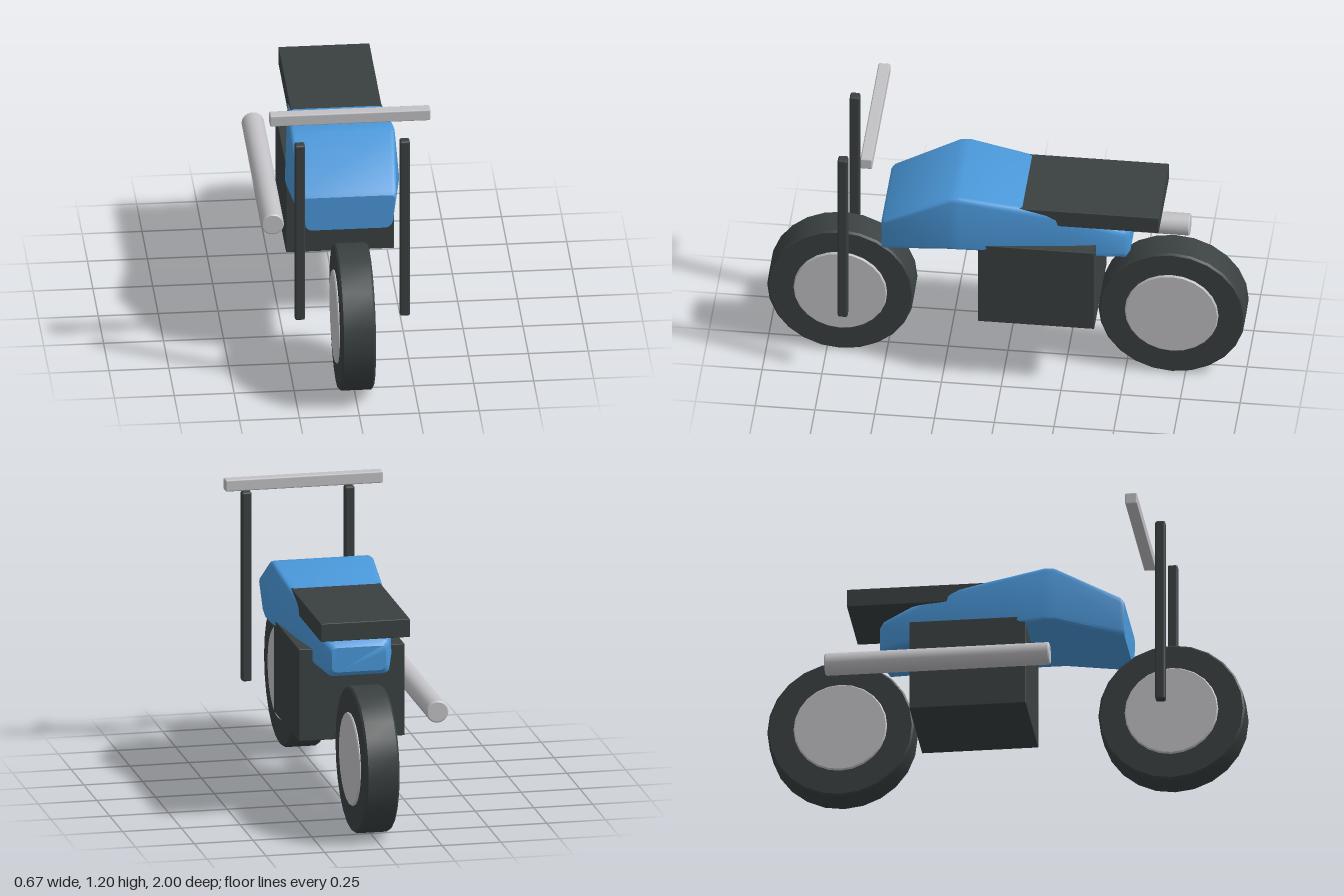
import * as THREE from 'three';
import { toCreasedNormals } from 'three/addons/utils/BufferGeometryUtils.js';
import { RoundedBoxGeometry } from 'three/addons/geometries/RoundedBoxGeometry.js';

const mat = (name, color) => {
  const m = new THREE.MeshStandardMaterial({ color });
  m.name = name;
  return m;
};

// Solid disc along x with small chamfers on both rims
function bevelledDisc(radius, width, bevel, sides) {
  const h = width / 2;
  const profile = [[0, -h], [radius - bevel, -h], [radius, -h + bevel], [radius, h - bevel], [radius - bevel, h], [0, h]];
  const geo = new THREE.LatheGeometry(profile.map(([x, y]) => new THREE.Vector2(x, y)), sides);
  return toCreasedNormals(geo.rotateZ(Math.PI / 2), 0.6);
}

// Rounded four-sided cross-section, counterclockwise seen from +z
function section([z, bottom, top, wBottom, wTop, r]) {
  const corners = [[wBottom, bottom], [wTop, top], [-wTop, top], [-wBottom, bottom]].map(([x, y]) => new THREE.Vector2(x, y));
  const points = [];
  corners.forEach((c, i) => {
    const toward = (o) => corners[o % 4].clone().sub(c).setLength(r).add(c);
    const curve = new THREE.QuadraticBezierCurve(toward(i + 3), c, toward(i + 1));
    for (const p of curve.getPoints(3)) points.push([p.x, p.y, z]);
  });
  return points;
}

// Skin sections running from back to front, with closed ends
function loft(rows) {
  const rings = rows.map(section), n = rings[0].length, index = [];
  for (let i = 0; i < rings.length - 1; i++) {
    for (let j = 0; j < n; j++) {
      const k = (j + 1) % n, a = i * n + j, b = i * n + k, c = b + n, d = a + n;
      index.push(a, b, c, a, c, d);
    }
  }
  const last = (rings.length - 1) * n;
  for (let j = 1; j < n - 1; j++) {
    index.push(last, last + j, last + j + 1);
    index.push(0, j + 1, j);
  }
  const geo = new THREE.BufferGeometry();
  geo.setAttribute('position', new THREE.Float32BufferAttribute(rings.flat(2), 3));
  geo.setIndex(index);
  return toCreasedNormals(geo, 0.6);
}

export function createModel() {
  const group = new THREE.Group();
  group.name = 'motorcycle';
  const dark = mat('charcoal', 0x3a4040);
  const metal = mat('light metal', 0xc2c2c6);
  const blue = mat('blue paint', 0x4a98da);

  const add = (name, geo, material, x, y, z) => {
    const mesh = new THREE.Mesh(geo, material);
    mesh.name = name;
    mesh.position.set(x, y, z);
    group.add(mesh);
    return mesh;
  };
  const box = (w, h, d, r) => new RoundedBoxGeometry(w, h, d, 1, r);

  // Wheels: dark tyre with a slightly proud metal disc
  for (const [side, z] of [['front', 0.693], ['rear', -0.693]]) {
    add(side + 'Tyre', bevelledDisc(0.307, 0.142, 0.008, 24), dark, 0, 0.309, z);
    add(side + 'WheelDisc', bevelledDisc(0.196, 0.16, 0.005, 24), metal, 0, 0.312, z);
  }

  // Fork legs and handlebar
  for (const s of [1, -1]) {
    add(s > 0 ? 'leftFork' : 'rightFork', box(0.042, 0.815, 0.042, 0.008), dark, s * 0.219, 0.703, 0.665);
  }
  add('handlebar', box(0.67, 0.05, 0.05, 0.006), metal, 0, 1.175, 0.555);

  // Engine block and seat
  add('engine', box(0.45, 0.395, 0.487, 0.003), dark, 0, 0.512, -0.143);
  add('seat', box(0.38, 0.078, 0.67, 0.003), dark, 0, 0.85, -0.317);

  // Tank and tail body: z, bottom, top, bottom half-width, top half-width, corner radius
  add('body', loft([
    [-0.523, 0.64, 0.745, 0.115, 0.115, 0.025],
    [-0.505, 0.621, 0.766, 0.135, 0.135, 0.03],
    [-0.39, 0.64, 0.812, 0.168, 0.165, 0.03],
    [-0.24, 0.665, 0.863, 0.193, 0.188, 0.025],
    [0.03, 0.675, 0.907, 0.223, 0.207, 0.02],
    [0.18, 0.683, 0.934, 0.239, 0.217, 0.02],
    [0.22, 0.682, 0.93, 0.238, 0.217, 0.02],
    [0.495, 0.62, 0.788, 0.182, 0.204, 0.025],
    [0.508, 0.622, 0.772, 0.176, 0.196, 0.025],
  ]), blue, 0, 0, 0);

  // Exhaust pipe on the right side
  const exhaust = add('exhaust', bevelledDisc(0.047, 0.94, 0.005, 24), metal, -0.29, 0.503, -0.26);
  exhaust.rotation.y = Math.PI / 2;

  return group;
}
